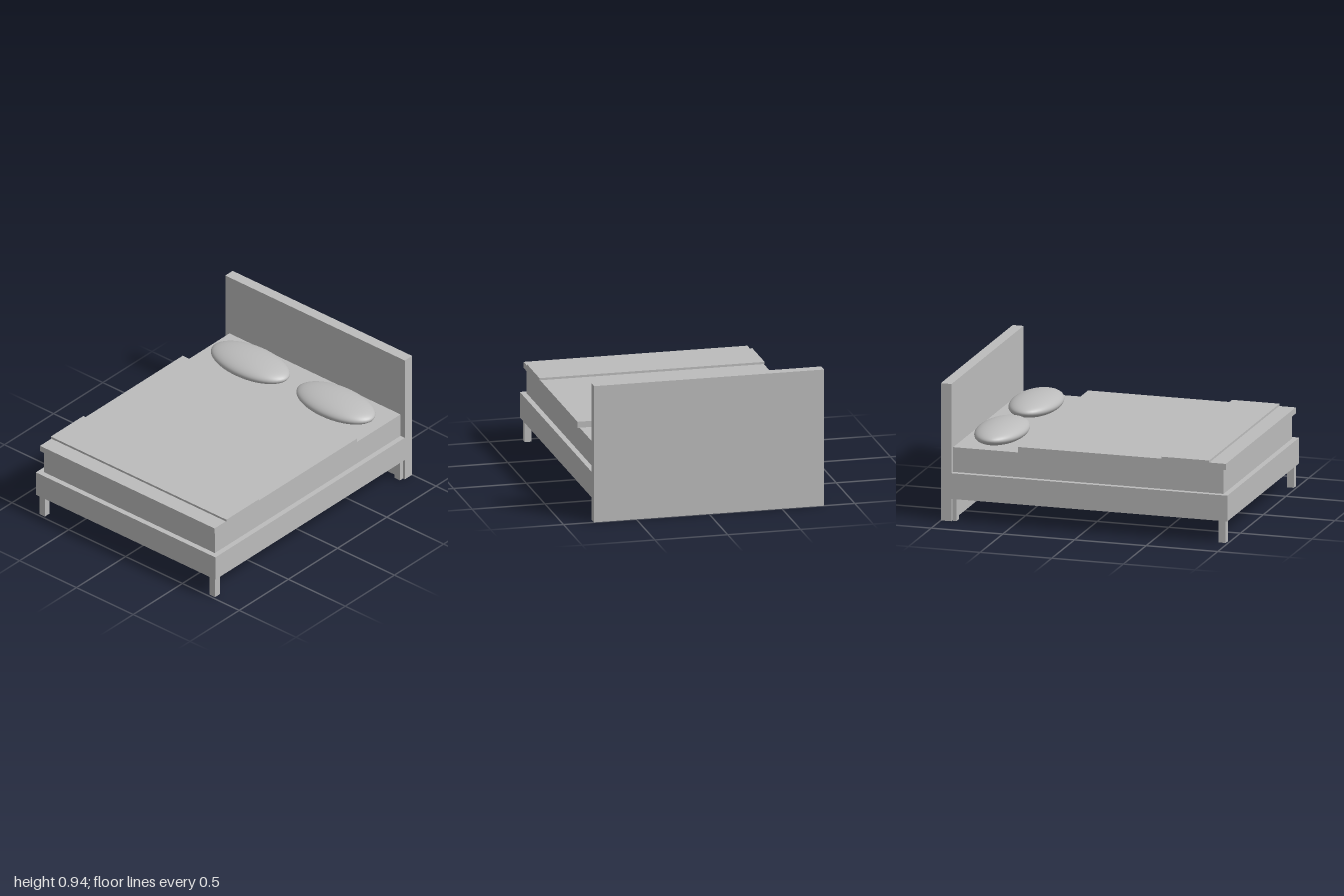
import * as THREE from 'three';

export function createModel() {
  const bed = new THREE.Group();
  bed.name = 'bed';
  const grey = new THREE.MeshStandardMaterial({ color: 0xbcbcbc });
  grey.name = 'plain grey';

  // Box given by its half width and its y and z ranges, centred on cx
  const slab = (name, halfW, y0, y1, z0, z1, cx = 0) => {
    const mesh = new THREE.Mesh(new THREE.BoxGeometry(halfW * 2, y1 - y0, z1 - z0), grey);
    mesh.position.set(cx, (y0 + y1) / 2, (z0 + z1) / 2);
    mesh.name = name;
    bed.add(mesh);
  };

  // Frame and bedding, from the floor up
  slab('headboard', 0.79, 0, 0.945, -1, -0.925);
  slab('bedFrame', 0.79, 0.154, 0.331, -0.925, 1);
  slab('mattress', 0.753, 0.331, 0.501, -0.925, 0.962);
  slab('duvet', 0.768, 0.501, 0.543, -0.467, 0.983);
  slab('throwBlanket', 0.773, 0.543, 0.558, 0.537, 0.868);

  // Mirrored legs and pillows
  const pillowShape = new THREE.SphereGeometry(1, 48, 32);
  for (const [side, word] of [[1, 'left'], [-1, 'right']]) {
    slab(word + 'FrontLeg', 0.0245, 0, 0.154, 0.935, 0.984, side * 0.749);
    slab(word + 'BackLeg', 0.0245, 0, 0.154, -0.944, -0.895, side * 0.749);

    const pillow = new THREE.Mesh(pillowShape, grey);
    pillow.scale.set(0.317, 0.068, 0.168);
    pillow.position.set(side * 0.376, 0.541, -0.703);
    pillow.name = word + 'Pillow';
    bed.add(pillow);
  }
  return bed;
}
